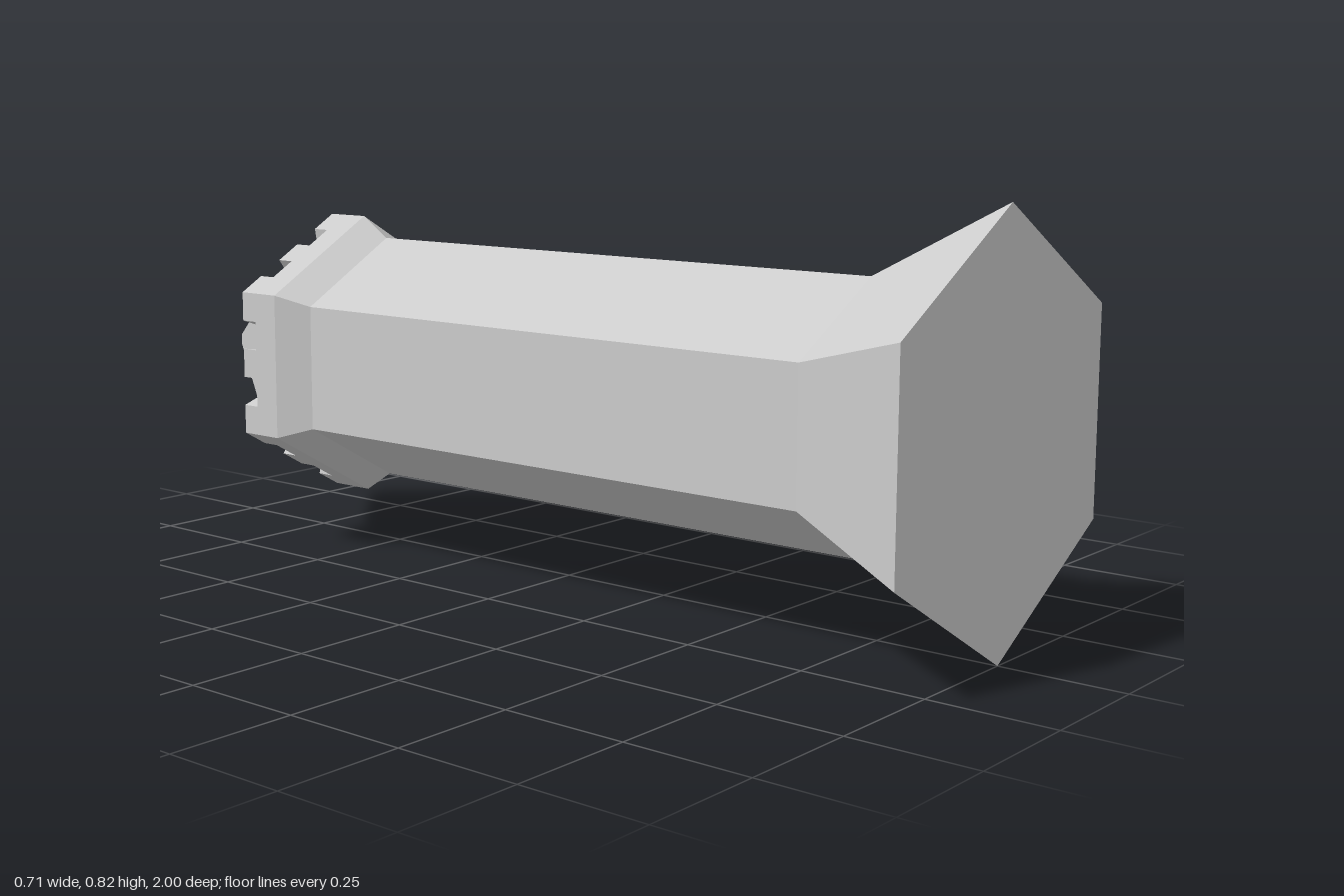
import * as THREE from 'three';

const AXIS_Y = 0.412;      // height of the tower's lying axis
const OUTER = 0.31;        // parapet corner radius, outside
const INNER = 0.262;       // parapet corner radius, inside

export function createModel() {
  const group = new THREE.Group();
  const material = new THREE.MeshStandardMaterial({ color: 0xcccccc, flatShading: true });

  const add = (name, geometry) => {
    const mesh = new THREE.Mesh(geometry, material);
    mesh.name = name;
    mesh.position.y = AXIS_Y;
    group.add(mesh);
  };

  // Six-sided solid along -z from [radius, height along the tower] pairs
  const hexagonal = (name, profile) => {
    const points = profile.map(([r, h]) => new THREE.Vector2(r, h));
    const geometry = new THREE.LatheGeometry(points, 6).rotateX(-Math.PI / 2);
    add(name, geometry.toNonIndexed());
  };

  // Flared foot with its flat underside
  hexagonal('base', [[0, -1], [0.412, -1], [0.265, -0.72]]);
  hexagonal('shaft', [[0.265, -0.72], [0.265, 0.53]]);

  // Corbelled platform, low wall and sunken floor
  hexagonal('parapet', [[0.265, 0.53], [OUTER, 0.6], [OUTER, 0.663], [INNER, 0.663], [INNER, 0.61], [0, 0.61]]);

  // Small turret and its pointed roof
  hexagonal('turret', [[0.19, 0.61], [0.19, 0.75]]);
  hexagonal('roof', [[0.19, 0.75], [0.202, 0.768], [0.024, 1], [0, 1]]);

  // Point on hexagon side k, at fraction t of its length
  const corner = (r, k) => new THREE.Vector2(r * Math.sin(k * Math.PI / 3), r * Math.cos(k * Math.PI / 3));
  const onSide = (r, k, t) => corner(r, k).lerp(corner(r, k + 1), t);

  // Merlon following a list of [side, fraction] stops around the parapet
  const merlon = (name, stops) => {
    const outside = stops.map(([k, t]) => onSide(OUTER, k, t));
    const inside = stops.map(([k, t]) => onSide(INNER, k, t)).reverse();
    const shape = new THREE.Shape([...outside, ...inside]);
    const geometry = new THREE.ExtrudeGeometry(shape, { depth: 0.04, bevelEnabled: false });
    add(name, geometry.translate(0, 0, -0.703));
  };

  for (let k = 0; k < 6; k++) {
    merlon('cornerMerlon', [[k - 1, 0.8], [k, 0], [k, 0.2]]);
    merlon('middleMerlon', [[k, 0.4], [k, 0.6]]);
  }

  return group;
}
